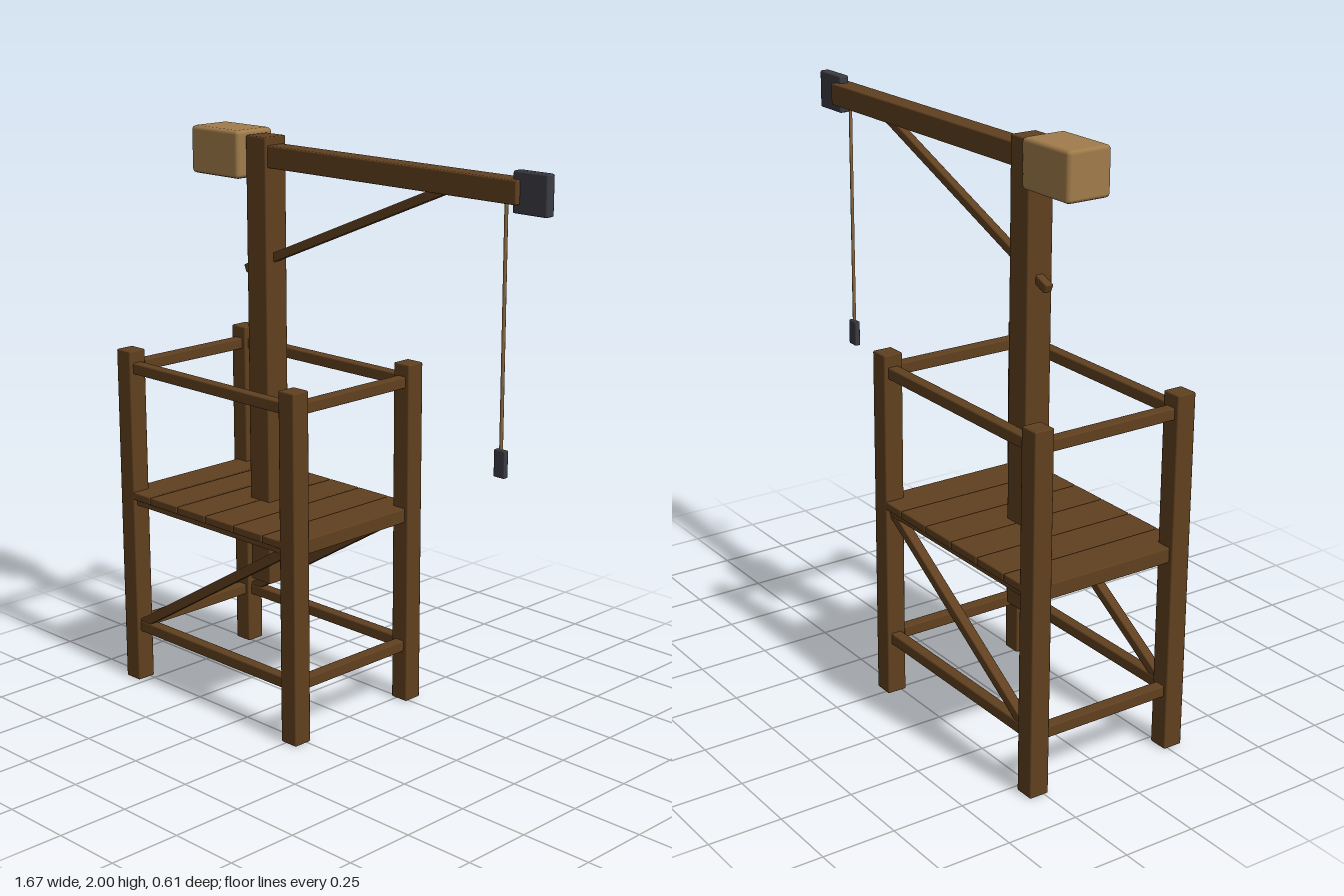
import * as THREE from 'three';
import { RoundedBoxGeometry } from 'three/addons/geometries/RoundedBoxGeometry.js';

export function createModel() {
  const model = new THREE.Group();
  model.name = 'timberCrane';

  const material = (name, color) => {
    const m = new THREE.MeshStandardMaterial({ color });
    m.name = name;
    return m;
  };
  const timber = material('dark timber', 0x60401f);
  const paleWood = material('pale wood', 0xa17c4b);
  const rope = material('rope', 0x8a6a42);
  const iron = material('iron', 0x3b3b43);

  // Box with softened edges, given by size and centre
  const box = (name, mat, size, centre, bevel = 0.005) => {
    const mesh = new THREE.Mesh(new RoundedBoxGeometry(...size, 1, bevel), mat);
    mesh.name = name;
    mesh.position.set(...centre);
    model.add(mesh);
    return mesh;
  };

  // Square beam lying in a plane of constant z, from one point to another
  const brace = (name, x0, y0, x1, y1, z, thick) => {
    const length = Math.hypot(x1 - x0, y1 - y0);
    const mesh = box(name, timber, [length, thick, thick], [(x0 + x1) / 2, (y0 + y1) / 2, z], 0.004);
    mesh.rotation.z = Math.atan2(y1 - y0, x1 - x0);
  };

  // Tower frame
  const xs = [-0.805, 0.015], zs = [-0.27, 0.27];
  const midX = -0.395, spanX = 0.82, spanZ = 0.54;
  for (const x of xs)
    for (const z of zs) box('cornerPost', timber, [0.07, 1.225, 0.07], [x, 0.6165, z]);

  for (const y of [0.21, 0.686, 1.166]) {
    for (const z of zs) box('longRail', timber, [spanX, 0.04, 0.04], [midX, y, z]);
    for (const x of xs) box('sideRail', timber, [0.04, 0.04, spanZ], [x, y, 0]);
  }
  for (const z of zs) brace('towerBrace', -0.79, 0.207, 0.01, 0.692, z, 0.034);

  // Deck planks
  const planks = 6, pitch = 0.144;
  for (let i = 0; i < planks; i++) {
    const x = midX + (i - (planks - 1) / 2) * pitch;
    box('deckPlank', timber, [pitch - 0.003, 0.028, 0.608], [x, 0.704, 0], 0.004);
  }

  // Mast, boom and its brace
  box('mast', timber, [0.095, 1.57, 0.095], [-0.393, 1.2, 0]);
  box('boom', timber, [1.12, 0.075, 0.074], [0.17, 1.92, 0]);
  brace('boomBrace', -0.488, 1.521, 0.43, 1.897, 0, 0.03);

  // Counterweight and boom tip
  box('counterweight', paleWood, [0.235, 0.162, 0.162], [-0.563, 1.919, 0], 0.014);
  box('boomTip', iron, [0.133, 0.129, 0.036], [0.768, 1.919, 0], 0.006);

  // Hanging rope and hook block
  const line = new THREE.Mesh(new THREE.CylinderGeometry(0.006, 0.006, 0.82, 8), rope);
  line.name = 'hoistRope';
  line.position.set(0.664, 1.5, 0);
  model.add(line);
  box('hookBlock', iron, [0.044, 0.09, 0.02], [0.664, 1.064, 0], 0.004);

  return model;
}
